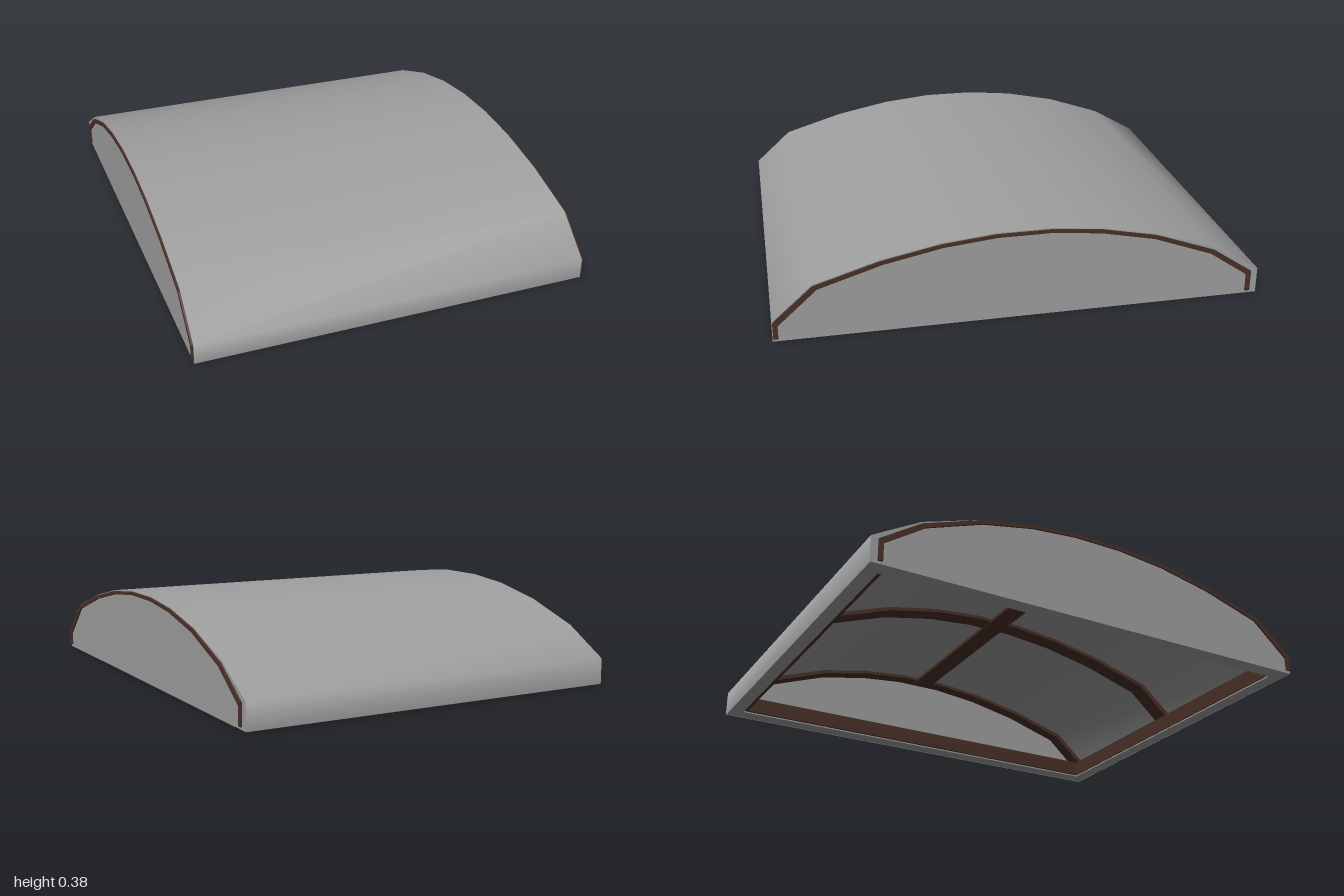
import * as THREE from 'three';

// Side outline of the cover as [z, y], front to back
const PROFILE = [
  [0.997, 0], [0.997, 0.085], [0.835, 0.23], [0.57, 0.31], [0.33, 0.358], [0.11, 0.38],
  [-0.11, 0.38], [-0.32, 0.359], [-0.55, 0.311], [-0.8, 0.226], [-1, 0.11], [-1, 0],
];
// Outline of the arched ribs, slightly inside the cover
const RIB = [
  [0.994, 0.012], [0.994, 0.083], [0.833, 0.226], [0.57, 0.306], [0.33, 0.354], [0.11, 0.376],
  [-0.11, 0.376], [-0.32, 0.355], [-0.55, 0.307], [-0.8, 0.216], [-0.97, 0.102], [-0.97, 0.012],
];
const HALF = 0.838;

const toShape = (pts) => new THREE.Shape(pts.map(([z, y]) => new THREE.Vector2(z, y)));

export function createModel() {
  const model = new THREE.Group();
  model.name = 'archedCover';
  const cloth = new THREE.MeshStandardMaterial({ color: 0xa0a0a0, side: THREE.DoubleSide });
  cloth.name = 'grey cloth';
  const wood = new THREE.MeshStandardMaterial({ color: 0x4a3028 });
  wood.name = 'dark brown wood';

  const add = (name, geometry, material, x = 0, y = 0, z = 0) => {
    const mesh = new THREE.Mesh(geometry, material);
    mesh.name = name;
    mesh.position.set(x, y, z);
    model.add(mesh);
    return mesh;
  };

  // Curved cloth sheet swept across the width
  const positions = [];
  const index = [];
  PROFILE.forEach(([z, y], i) => {
    positions.push(-HALF, y, z, HALF, y, z);
    if (i < PROFILE.length - 1) {
      const a = i * 2;
      index.push(a, a + 1, a + 3, a, a + 3, a + 2);
    }
  });
  const sheet = new THREE.BufferGeometry();
  sheet.setAttribute('position', new THREE.Float32BufferAttribute(positions, 3));
  sheet.setIndex(index);
  sheet.computeVertexNormals();
  add('clothCover', sheet, cloth);

  // Flat cloth panels closing both ends
  for (const side of [-1, 1]) {
    const panel = new THREE.ShapeGeometry(toShape(PROFILE));
    panel.rotateY(side * Math.PI / 2);
    if (side > 0) panel.scale(1, 1, -1);
    const end = add(side > 0 ? 'leftEndPanel' : 'rightEndPanel', panel, cloth, side * HALF);
    // Mirroring reverses the corner order, so restore it
    if (side > 0) {
      const order = end.geometry.index.array;
      for (let i = 0; i < order.length; i += 3) [order[i], order[i + 1]] = [order[i + 1], order[i]];
      end.geometry.computeVertexNormals();
    }
  }

  // Arched wooden ribs
  const inner = RIB.map(([z, y], i) => {
    const foot = i === 0 || i === RIB.length - 1;
    return [z * 0.98, foot ? y : y - 0.014];
  });
  const ribShape = toShape([...RIB, ...inner.reverse()]);
  const addRib = (name, x, width) => {
    const g = new THREE.ExtrudeGeometry(ribShape, { depth: width, bevelEnabled: false });
    g.translate(0, 0, -width / 2);
    g.rotateY(-Math.PI / 2);
    add(name, g, wood, x);
  };
  addRib('leftRib', 0.81, 0.07);
  addRib('middleRib', 0.03, 0.08);
  addRib('rightRib', -0.81, 0.07);

  // Ridge beam along the top
  add('ridgeBeam', new THREE.BoxGeometry(1.66, 0.014, 0.09), wood, 0, 0.366, 0.01);

  // Base rails with the cloth hem turned under them
  for (const side of [-1, 1]) {
    const sideName = side > 0 ? 'left' : 'right';
    add(sideName + 'BaseRail', new THREE.BoxGeometry(0.06, 0.07, 1.93), wood, side * 0.8, 0.047, 0.01);
    add(sideName + 'Hem', new THREE.BoxGeometry(0.068, 0.006, 1.99), cloth, side * 0.803, 0.004, 0);
    const endName = side > 0 ? 'front' : 'back';
    add(endName + 'BaseRail', new THREE.BoxGeometry(1.66, 0.07, 0.045), wood, 0, 0.047, 0.012 + side * 0.95);
    add(endName + 'Hem', new THREE.BoxGeometry(1.67, 0.006, 0.06), cloth, 0, 0.004, side * 0.967);
  }
  return model;
}
